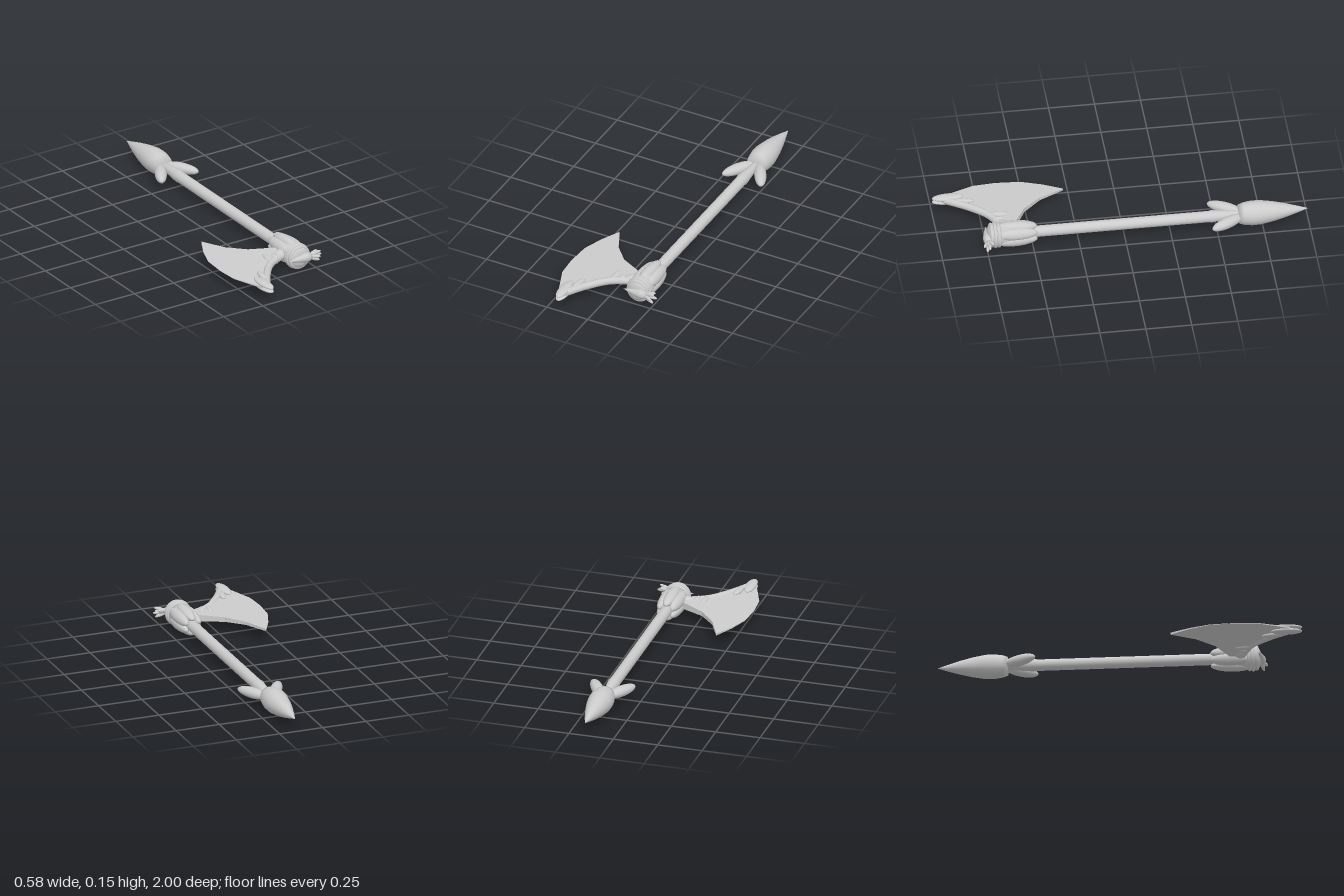
import * as THREE from 'three';

const CX = 0.16, CY = 0.083; // shaft axis
const mat = new THREE.MeshStandardMaterial({ color: 0xcccccc, side: THREE.DoubleSide });
const V = (x, y, z) => new THREE.Vector3(x, y, z);

export function createModel() {
  const model = new THREE.Group();

  const add = (name, geo) => {
    const m = new THREE.Mesh(geo, mat);
    m.name = name;
    model.add(m);
    return m;
  };

  // ellipsoid stretched from a to b; n is its thin direction
  const petal = (name, a, b, width, thick, n = V(0, 1, 0)) => {
    const dir = b.clone().sub(a), len = dir.length();
    dir.normalize();
    const side = dir.clone().cross(n).normalize();
    const up = side.clone().cross(dir);
    const geo = new THREE.SphereGeometry(1, 16, 12);
    geo.scale(width, len / 2, thick);
    geo.applyMatrix4(new THREE.Matrix4().makeBasis(side, dir, up));
    add(name, geo).position.copy(a).lerp(b, 0.5);
  };

  // turned part on the shaft axis; profile is [radius, z]
  const turned = (name, profile, sides = 24) => {
    const geo = new THREE.LatheGeometry(profile.map(([r, z]) => new THREE.Vector2(r, z)), sides);
    geo.rotateX(Math.PI / 2);
    add(name, geo).position.set(CX, CY, 0);
  };

  // shaft, narrowing into the spear point
  turned('shaft', [[0, -0.64], [0.018, -0.64], [0.034, -0.47], [0.031, -0.46], [0.031, 0.7], [0, 0.7]]);

  // spear point with two side petals
  turned('spearPoint', [[0, -1], [0.018, -0.945], [0.037, -0.88], [0.054, -0.81],
    [0.066, -0.74], [0.067, -0.69], [0.06, -0.645], [0.051, -0.62], [0, -0.62]], 20);
  for (const s of [-1, 1]) {
    petal('pointPetal', V(CX + s * 0.015, CY, -0.645), V(CX + s * 0.118, CY, -0.465), 0.033, 0.03);
  }

  // hub: core, ring of leaves and banded collar
  turned('hubCore', [[0.03, 0.5], [0.05, 0.56], [0.062, 0.63], [0.064, 0.7], [0, 0.7]]);
  for (let i = 0; i < 6; i++) {
    const t = Math.PI / 2 + i * Math.PI / 3;
    const n = V(Math.cos(t), Math.sin(t), 0);
    const at = (r, z) => V(CX + n.x * r, CY + n.y * r, z);
    petal('hubLeaf', at(0.04, 0.475), at(0.05, 0.7), 0.034, 0.028, n);
  }
  turned('hubCap', [[0.06, 0.66], [0.066, 0.69], [0.066, 0.72], [0.056, 0.735], [0.035, 0.745], [0, 0.748]]);
  for (const [r, z] of [[0.061, 0.685], [0.063, 0.705], [0.058, 0.724]]) {
    add('hubRing', new THREE.TorusGeometry(r, 0.01, 10, 28)).position.set(CX, CY, z);
  }

  // small crosswise bud on the hub face
  const bud = new THREE.LatheGeometry([[0, 0.225], [0.02, 0.218], [0.027, 0.198], [0.025, 0.175],
    [0.016, 0.135], [0.007, 0.105], [0, 0.083]].map(([r, x]) => new THREE.Vector2(r, x)), 16);
  bud.rotateZ(-Math.PI / 2);
  add('bud', bud).position.set(0, CY, 0.745);
  for (const [x, dy, dz] of [[0.288, 0, 0], [0.276, 0.025, 0.012], [0.27, -0.028, 0.012],
    [0.27, 0.018, -0.02], [0.265, 0, 0.03]]) {
    petal('budPetal', V(0.208, CY + dy * 0.2, 0.745), V(x, CY + dy, 0.745 + dz), 0.01, 0.01);
  }

  // wing blade: wedge section, sharp at the outer edge
  const outline = [[-0.185, 0.285], [-0.24, 0.39], [-0.282, 0.505], [-0.291, 0.64], [-0.282, 0.76],
    [-0.215, 0.93], [-0.185, 0.95], [-0.1, 0.81], [0, 0.7], [0.11, 0.65], [0.11, 0.595],
    [-0.035, 0.515], [-0.12, 0.42]];
  const blade = new THREE.ExtrudeGeometry(
    new THREE.Shape(outline.map(([x, z]) => new THREE.Vector2(x, -z))), { depth: 1, bevelEnabled: false });
  blade.rotateX(-Math.PI / 2);
  const p = blade.attributes.position;
  for (let i = 0; i < p.count; i++) {
    const half = 0.001 + 0.048 * (p.getX(i) + 0.291);
    p.setY(i, CY + (p.getY(i) - 0.5) * 2 * half);
  }
  blade.computeVertexNormals();
  add('wingBlade', blade);

  // arm bone along the front of the blade
  const armPath = new THREE.CatmullRomCurve3([V(0.13, CY, 0.645), V(0.06, CY, 0.67),
    V(-0.02, CY, 0.715), V(-0.11, CY, 0.82), V(-0.185, CY, 0.94)]);
  add('wingArm', new THREE.TubeGeometry(armPath, 24, 0.021, 12));

  // paired knuckles above and below the arm
  for (const s of [-1, 1]) {
    const y = CY + s * 0.012;
    petal('armTip', V(-0.19, y, 0.828), V(-0.186, y - s * 0.001, 0.998), 0.03, 0.014);
    petal('armKnuckle', V(-0.137, y, 0.775), V(-0.155, y, 0.885), 0.018, 0.012);
    petal('armKnuckle', V(0.0, y, 0.61), V(-0.008, y, 0.71), 0.016, 0.012);
    petal('armKnuckle', V(0.04, y, 0.635), V(0.035, y, 0.7), 0.016, 0.012);
    petal('armRoot', V(0.05, y, 0.66), V(0.15, y, 0.62), 0.03, 0.018);
  }
  return model;
}
